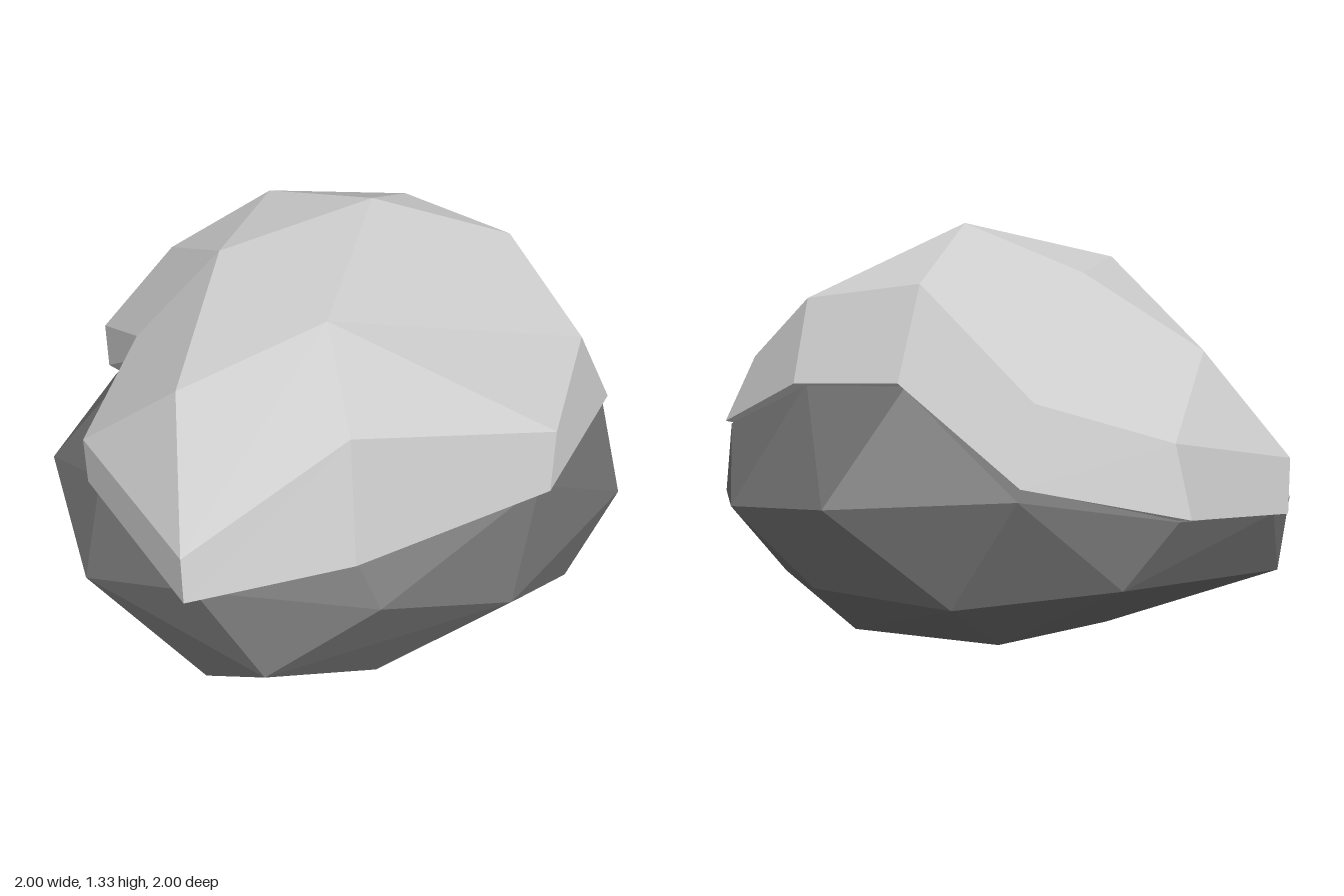
import * as THREE from 'three';
import { ConvexGeometry } from 'three/addons/geometries/ConvexGeometry.js';

// Joins closed loops of points (listed lowest first) into a faceted skin with one normal per panel;
// repeated points collapse a panel to a triangle.
function skinLoops(loops) {
  const positions = [], normals = [];
  const vector = (p, q) => new THREE.Vector3(q[0] - p[0], q[1] - p[1], q[2] - p[2]);
  for (let r = 0; r < loops.length - 1; r++) {
    const low = loops[r], high = loops[r + 1], n = low.length;
    for (let i = 0; i < n; i++) {
      const j = (i + 1) % n;
      const a = low[i], b = low[j], c = high[j], d = high[i];
      const normal = vector(a, c).cross(vector(b, d)).normalize().toArray();
      for (const [p, q, s] of [[a, b, c], [a, c, d]]) {
        if (p === q || q === s || p === s) continue;
        positions.push(...p, ...q, ...s);
        normals.push(...normal, ...normal, ...normal);
      }
    }
  }
  const geometry = new THREE.BufferGeometry();
  geometry.setAttribute('position', new THREE.Float32BufferAttribute(positions, 3));
  geometry.setAttribute('normal', new THREE.Float32BufferAttribute(normals, 3));
  return geometry;
}

function createCap() {
  // overhanging lower rim, from the front round by +x to the back
  const rim = [
    [-0.02, 0.66, 0.95], [0.65, 0.62, 0.60], [0.98, 0.64, 0.10], [0.73, 0.84, -0.39],
    [0.42, 0.88, -0.70], [0.10, 0.62, -1.00], [-0.42, 0.49, -0.91], [-0.81, 0.43, -0.64],
    [-0.70, 0.75, -0.13], [-0.84, 0.53, 0.27], [-0.53, 0.51, 0.89],
  ];
  // shoulder where the sides turn inwards
  const shoulder = [
    [-0.02, 1.00, 0.79], [0.65, 0.85, 0.60], [0.87, 0.87, 0.07], [0.68, 1.10, -0.29],
    [0.34, 1.16, -0.54], [0.05, 0.85, -0.93], [-0.38, 0.71, -0.86], [-0.81, 0.61, -0.64],
    [-0.66, 0.85, -0.13], [-0.84, 0.70, 0.27], [-0.53, 0.68, 0.89],
  ];
  // crown corners
  const peak = [0.16, 1.33, -0.14], front = [-0.05, 1.19, 0.43], frontSide = [-0.52, 1.02, 0.51];
  const middle = [-0.36, 1.21, -0.04], back = [-0.16, 1.19, -0.55], backSide = [-0.53, 0.95, -0.61];
  const crown = [front, front, front, peak, peak, back, backSide, backSide, middle, frontSide, frontSide];
  // underside lip tucked into the rock
  const lip = rim.map(([x, y, z]) => [x * 0.9, y - 0.02, z * 0.9]);
  return skinLoops([lip, rim, shoulder, crown, crown.map(() => middle)]);
}

function createRock() {
  const points = [
    // flat foot
    [-0.59, 0, -0.12], [-0.29, 0, -0.35], [0.10, 0, -0.53], [0.55, 0, -0.31],
    [0.48, 0, 0.28], [0.10, 0, 0.50], [-0.40, 0, 0.45],
    // lower flanks
    [-0.48, 0.07, 0.75], [0.07, 0.09, 0.80], [0.78, 0.14, 0.46], [0.78, 0.14, -0.07],
    [0.68, 0.22, -0.55], [0.28, 0.22, -0.83], [-0.22, 0.28, -0.90], [-0.86, 0.18, -0.42],
    // widest belt
    [-0.30, 0.29, 1.00], [0.05, 0.53, 1.00], [0.50, 0.34, 0.80], [1.00, 0.35, 0.28],
    [0.94, 0.44, -0.34], [0.65, 0.52, -0.76], [0.10, 0.57, -0.95], [-0.40, 0.47, -0.85],
    [-0.78, 0.42, -0.59], [-1.00, 0.36, -0.13], [-0.86, 0.29, 0.48],
    // upper corners under the cap
    [-0.02, 0.66, 0.91], [-0.50, 0.52, 0.85], [0.62, 0.63, 0.58], [0.96, 0.63, 0.10],
    [0.69, 0.84, -0.37], [0.40, 0.86, -0.67], [-0.66, 0.76, -0.13], [-0.80, 0.54, 0.27],
  ];
  return new ConvexGeometry(points.map((p) => new THREE.Vector3(...p)));
}

export function createModel() {
  const group = new THREE.Group();
  group.name = 'cappedBoulder';

  const rock = new THREE.Mesh(
    createRock(),
    new THREE.MeshStandardMaterial({ color: 0x707070, flatShading: true }),
  );
  rock.name = 'rock';

  const cap = new THREE.Mesh(
    createCap(),
    new THREE.MeshStandardMaterial({ color: 0xcccccc, side: THREE.DoubleSide }),
  );
  cap.name = 'cap';

  group.add(rock, cap);
  return group;
}
